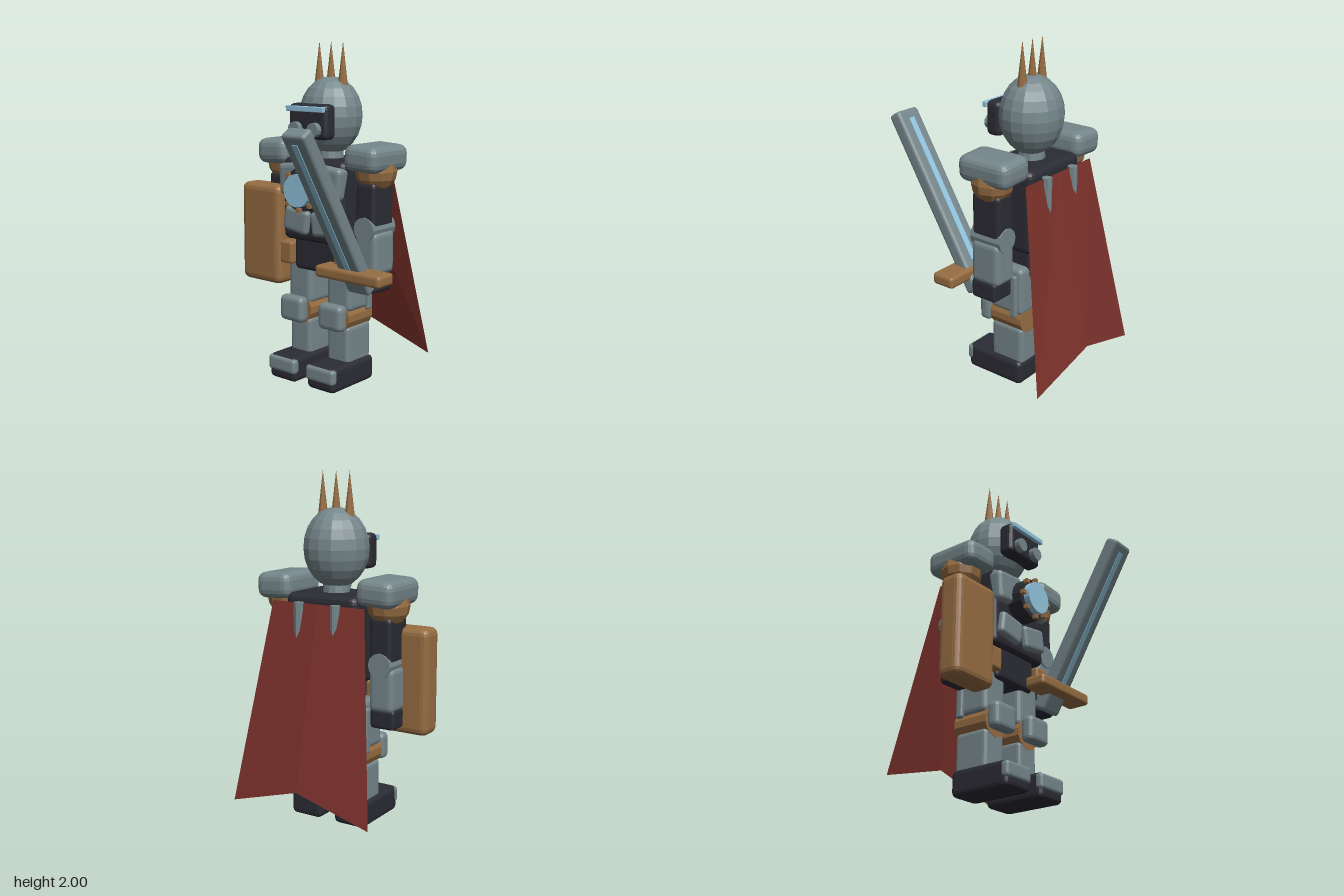
import * as THREE from 'three';
import { RoundedBoxGeometry } from 'three/addons/geometries/RoundedBoxGeometry.js';

const flat = (name, color) => {
  const m = new THREE.MeshStandardMaterial({ color, flatShading: true });
  m.name = name;
  return m;
};

export function createModel() {
  const steel = flat('steel grey', 0x75868a);
  const dark = flat('dark under-armour', 0x2b2b34);
  const bronze = flat('bronze', 0x966d42);
  const glow = flat('light blue', 0x92c4de);
  const cloth = flat('red cloth', 0x7c312b);
  cloth.side = THREE.DoubleSide;

  const model = new THREE.Group();
  model.name = 'armouredKnight';

  const add = (name, geometry, material, x, y, z, parent = model) => {
    const mesh = new THREE.Mesh(geometry, material);
    mesh.name = name;
    mesh.position.set(x, y, z);
    parent.add(mesh);
    return mesh;
  };
  // Bevelled box given by its extents on each axis
  const box = (name, material, [x0, x1], [y0, y1], [z0, z1], bevel = 0.025, parent = model) =>
    add(name, new RoundedBoxGeometry(x1 - x0, y1 - y0, z1 - z0, 2, bevel), material,
      (x0 + x1) / 2, (y0 + y1) / 2, (z0 + z1) / 2, parent);
  // Cylinder along z
  const disc = (name, material, r, x, y, [z0, z1], sides = 16) =>
    add(name, new THREE.CylinderGeometry(r, r, z1 - z0, sides).rotateX(Math.PI / 2), material, x, y, (z0 + z1) / 2);
  // Box at a mirrored x range
  const sideBox = (s, name, material, [x0, x1], y, z, bevel) =>
    box(name, material, s > 0 ? [x0, x1] : [-x1, -x0], y, z, bevel);

  // Head, crest and visor
  add('head', new THREE.SphereGeometry(1, 16, 12).scale(0.19, 0.225, 0.18), steel, 0, 1.575, -0.15);
  add('neck', new THREE.CylinderGeometry(0.07, 0.08, 0.12, 12), steel, 0, 1.36, -0.15);
  for (const x of [-0.088, 0, 0.088])
    add('crestSpike', new THREE.ConeGeometry(0.03, 0.26, 8), bronze, x, 1.87, -0.15);
  box('visor', dark, [-0.143, 0.143], [1.45, 1.65], [-0.03, 0.066], 0.03);
  box('visorLight', glow, [-0.138, 0.138], [1.607, 1.638], [0.066, 0.09], 0.004);
  for (const s of [-1, 1]) disc('eye', steel, 0.041, s * 0.07, 1.508, [0.05, 0.1], 12);

  // Torso
  box('torso', dark, [-0.232, 0.232], [0.84, 1.33], [-0.32, 0.02], 0.04);
  box('abdomen', dark, [-0.168, 0.168], [0.66, 0.87], [-0.27, -0.01], 0.03);

  // Chest core with studded ring
  disc('coreRing', dark, 0.125, 0, 1.165, [0.02, 0.12]);
  disc('coreLight', glow, 0.095, 0, 1.165, [0.1, 0.158], 24);
  for (let i = 0; i < 8; i++) {
    const a = i * Math.PI / 4;
    add('coreStud', new THREE.BoxGeometry(0.025, 0.025, 0.026), bronze,
      Math.cos(a) * 0.115, 1.165 + Math.sin(a) * 0.115, 0.133);
  }

  for (const s of [-1, 1]) {
    // Chest and belly plates
    sideBox(s, 'chestPlate', steel, [0.015, 0.23], [1.115, 1.305], [-0.035, 0.06], 0.03).rotation.z = -s * 0.09;
    sideBox(s, 'bellyPlate', steel, [0.012, 0.197], [0.895, 1.04], [-0.01, 0.055], 0.025).rotation.z = s * 0.14;
    sideBox(s, 'hipPouch', bronze, [0.16, 0.258], [0.69, 0.825], [-0.1, 0.02], 0.015);
    add('backTube', new THREE.CylinderGeometry(0.029, 0.029, 0.435, 8), steel, s * 0.12, 1.067, -0.347);

    // Arm
    sideBox(s, 'shoulderPad', steel, [0.217, 0.447], [1.28, 1.43], [-0.318, 0.022], 0.05).rotation.z = -s * 0.05;
    add('shoulderJoint', new THREE.SphereGeometry(0.12, 10, 8), bronze, s * 0.337, 1.28, -0.145);
    sideBox(s, 'upperArm', dark, [0.265, 0.4], [0.96, 1.22], [-0.235, -0.045], 0.025);
    disc('elbow', steel, 0.07, s * 0.335, 0.955, [-0.245, -0.035], 12);
    sideBox(s, 'forearm', steel, [0.26, 0.412], [0.69, 0.94], [-0.235, -0.045], 0.03);
    sideBox(s, 'hand', dark, [0.258, 0.412], [0.59, 0.705], [-0.215, -0.045], 0.02);

    // Leg
    sideBox(s, 'thigh', steel, [0.062, 0.236], [0.45, 0.74], [-0.262, -0.035], 0.03);
    sideBox(s, 'thighPlate', steel, [0.225, 0.255], [0.44, 0.7], [-0.235, -0.19], 0.012);
    disc('kneeJoint', bronze, 0.09, s * 0.145, 0.41, [-0.258, -0.036], 14);
    sideBox(s, 'kneeCap', steel, [0.062, 0.236], [0.345, 0.5], [-0.03, 0.05], 0.03);
    sideBox(s, 'shin', steel, [0.068, 0.226], [0.12, 0.36], [-0.257, -0.038], 0.025);
    sideBox(s, 'foot', dark, [0.045, 0.25], [0, 0.15], [-0.262, 0.125], 0.03);
    sideBox(s, 'toeCap', steel, [0.043, 0.252], [0.052, 0.142], [0.08, 0.134], 0.02);
  }

  // Shield
  box('shield', bronze, [-0.557, -0.243], [0.55, 1.155], [-0.11, 0.04], 0.04);

  // Sword, leaning forward
  const sword = new THREE.Group();
  sword.name = 'sword';
  sword.position.set(0.325, 1.075, 0.238);
  sword.rotation.x = 0.54;
  model.add(sword);
  box('blade', steel, [-0.08, 0.08], [-0.55, 0.55], [-0.042, 0.042], 0.02, sword);
  for (const s of [-1, 1])
    add('bladeStripe', new THREE.BoxGeometry(0.038, 0.87, 0.006), glow, 0, 0.06, s * 0.043, sword);
  box('swordGuard', bronze, [0.098, 0.557], [0.675, 0.745], [-0.03, 0.113], 0.02);

  // Cape: two panels meeting at a centre crease
  const cape = new THREE.BufferGeometry();
  cape.setAttribute('position', new THREE.Float32BufferAttribute([
    -0.3, 1.28, -0.34, 0, 1.28, -0.342, 0.3, 1.28, -0.34,
    -0.45, 0.13, -0.543, 0, 0.265, -0.563, 0.45, 0.13, -0.543,
  ], 3));
  cape.setIndex([0, 1, 4, 0, 4, 3, 1, 2, 5, 1, 5, 4]);
  cape.computeVertexNormals();
  add('cape', cape, cloth, 0, 0, 0);

  return model;
}
